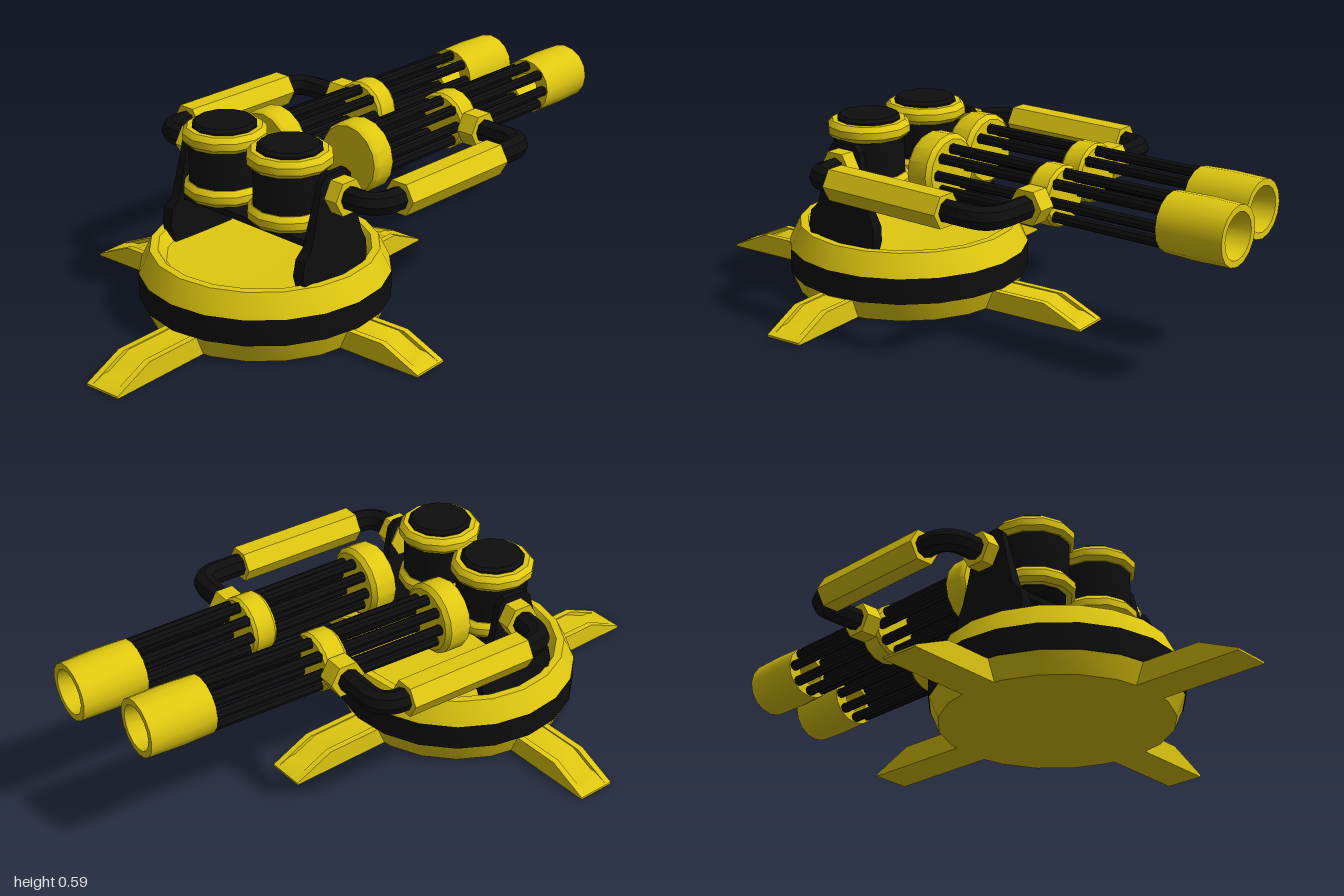
import * as THREE from 'three';
import { toCreasedNormals } from 'three/addons/utils/BufferGeometryUtils.js';

const yellow = new THREE.MeshStandardMaterial({ color: 0xe0c810 });
const black = new THREE.MeshStandardMaterial({ color: 0x0e0e0e });
const V = (x, y, z) => new THREE.Vector3(x, y, z);

function add(parent, name, geometry, material, x = 0, y = 0, z = 0) {
  const mesh = new THREE.Mesh(toCreasedNormals(geometry, 0.58), material);
  mesh.name = name;
  mesh.position.set(x, y, z);
  parent.add(mesh);
  return mesh;
}

// Profile of [radius, height] pairs, running up the outside
const lathe = (pts, sides) =>
  new THREE.LatheGeometry(pts.map(([r, h]) => new THREE.Vector2(r, h)), sides);

// Side outline given as [a, y] extruded to a centred width along the other horizontal axis
function slab(outline, width) {
  const shape = new THREE.Shape(outline.map(([a, y]) => new THREE.Vector2(a, y)));
  const g = new THREE.ExtrudeGeometry(shape, { depth: width, bevelEnabled: false });
  g.translate(0, 0, -width / 2);
  return g.rotateY(-Math.PI / 2); // a -> +z
}

// Round turntable with a dished top, a black belt and four feet
function makeBase() {
  const base = new THREE.Group();
  base.name = 'base';
  base.position.set(0.022, 0, 0.3);
  add(base, 'lowerPlate', lathe([[0, 0.005], [0.355, 0.005], [0.382, 0.07], [0, 0.07]], 20), yellow);
  add(base, 'belt', lathe([[0, 0.07], [0.385, 0.07], [0.385, 0.153], [0, 0.153]], 20), black);
  add(base, 'dishedTop', lathe([[0, 0.153], [0.385, 0.153], [0.378, 0.168], [0.35, 0.225],
    [0.325, 0.225], [0.3, 0.19], [0, 0.18]], 20), yellow);
  const lengths = [0.695, 0.63, 0.692, 0.665];
  lengths.forEach((len, i) => {
    const foot = new THREE.Group();
    foot.name = 'foot';
    foot.rotation.y = 0.065 + i * Math.PI / 2;
    const rail = [[0.25, 0.005], [len, 0.005], [len, 0.012], [len - 0.13, 0.07], [0.25, 0.07]];
    const web = [[0.25, 0.005], [len, 0.005], [len, 0.012], [len - 0.05, 0.03],
      [len - 0.07, 0.03], [len - 0.15, 0.066], [0.25, 0.066]];
    add(foot, 'footWeb', slab(web, 0.09), yellow);
    for (const s of [-1, 1]) add(foot, 'footRail', slab(rail, 0.02), yellow, s * 0.052);
    base.add(foot);
  });
  return base;
}

// Upright ammunition drum: black core between two yellow bands
function makeDrum(x) {
  const drum = new THREE.Group();
  drum.name = 'drum';
  drum.position.set(x, 0, 0.335);
  add(drum, 'drumCore', lathe([[0, 0.345], [0.085, 0.345], [0.1, 0.355], [0.1, 0.4], [0.113, 0.4],
    [0.113, 0.54], [0.1, 0.54], [0.1, 0.588], [0.09, 0.598], [0, 0.598]], 12), black);
  for (const y of [0.36, 0.53]) {
    add(drum, 'drumBand', lathe([[0.09, 0], [0.118, 0], [0.13, 0.014], [0.13, 0.036],
      [0.116, 0.052], [0.09, 0.052]], 12), yellow, 0, y);
  }
  return drum;
}

// Multi-tube barrel, built along local y from the breech cap to the muzzle
function makeBarrel(start, end, ringAt) {
  const barrel = new THREE.Group();
  barrel.name = 'barrel';
  const dir = end.clone().sub(start);
  const len = dir.length();
  barrel.position.copy(start);
  barrel.quaternion.setFromUnitVectors(V(0, 1, 0), dir.normalize());
  add(barrel, 'breechCap', lathe([[0, 0], [0.106, 0], [0.114, 0.012], [0.114, 0.075],
    [0.1, 0.088], [0, 0.088]], 16), yellow);
  add(barrel, 'middleRing', lathe([[0, -0.04], [0.085, -0.04], [0.093, -0.03], [0.093, 0.03],
    [0.085, 0.04], [0, 0.04]], 16), yellow, 0, ringAt);
  add(barrel, 'muzzle', lathe([[0.045, 0], [0.09, 0], [0.093, 0.1], [0.09, 0.212], [0.07, 0.212],
    [0.048, 0.1], [0.045, 0]], 16), yellow, 0, len - 0.212);
  const tubeLen = len - 0.25;
  for (let i = 0; i < 8; i++) {
    const a = i * Math.PI / 4;
    add(barrel, 'barrelTube', new THREE.CylinderGeometry(0.017, 0.017, tubeLen, 8), black,
      Math.sin(a) * 0.07, 0.06 + tubeLen / 2, Math.cos(a) * 0.07);
  }
  return barrel;
}

// Bent arm from the pivot, through a thick sleeve, to the barrel ring
function makeArm(pivotX, outX, ringX, ringZ) {
  const arm = new THREE.Group();
  arm.name = 'arm';
  const y = 0.47, z0 = 0.295, s = Math.sign(outX), b = 0.075;
  const path = new THREE.CurvePath();
  const line = (p, q) => path.add(new THREE.LineCurve3(p, q));
  const bend = (p, c, q) => path.add(new THREE.QuadraticBezierCurve3(p, c, q));
  const p1 = V(outX - s * b, y, z0), p2 = V(outX, y, z0 - b);
  const p3 = V(outX, y, ringZ + b), p4 = V(outX - s * b, y, ringZ);
  line(V(pivotX, y, z0), p1);
  bend(p1, V(outX, y, z0), p2);
  line(p2, p3);
  bend(p3, V(outX, y, ringZ), p4);
  line(p4, V(ringX, y, ringZ));
  add(arm, 'armTube', new THREE.TubeGeometry(path, 60, 0.036, 8), black);
  const hexX = (r, l) => new THREE.CylinderGeometry(r, r, l, 6).rotateZ(Math.PI / 2);
  add(arm, 'pivotCollar', hexX(0.058, 0.075), yellow, pivotX, y, z0);
  add(arm, 'ringCollar', hexX(0.058, 0.06), yellow, ringX, y, ringZ);
  add(arm, 'sleeve', new THREE.CylinderGeometry(0.056, 0.056, 0.43, 6)
    .rotateY(Math.PI / 6).rotateX(Math.PI / 2), yellow, outX, y, -0.015);
  return arm;
}

// Tapered upright bracket, thinner toward the top
function makeBracket(parent, x) {
  const g = slab([[0.2, 0.18], [0.43, 0.18], [0.45, 0.25], [0.44, 0.3], [0.41, 0.33], [0.385, 0.42],
    [0.36, 0.52], [0.34, 0.54], [0.26, 0.54], [0.24, 0.52], [0.225, 0.42], [0.2, 0.33],
    [0.18, 0.29], [0.18, 0.24]], 0.04);
  const p = g.attributes.position;
  for (let i = 0; i < p.count; i++) {
    p.setX(i, p.getX(i) * (1 - 0.5 * Math.max(0, (p.getY(i) - 0.25) / 0.29)));
  }
  add(parent, 'bracket', g, black, x);
}

export function createModel() {
  const model = new THREE.Group();
  model.name = 'turret';
  model.add(makeBase());
  for (const x of [-0.107, 0.165]) model.add(makeDrum(x));
  for (const x of [-0.253, 0.307]) makeBracket(model, x);
  add(model, 'crossBar', new THREE.BoxGeometry(0.55, 0.02, 0.12), black, 0.027, 0.328, 0.33);
  model.add(makeBarrel(V(-0.12, 0.458, 0.163), V(-0.105, 0.47, -0.925), 0.468));
  model.add(makeBarrel(V(0.165, 0.472, 0.087), V(0.153, 0.474, -1), 0.47));
  model.add(makeArm(-0.273, -0.425, -0.225, -0.308));
  model.add(makeArm(0.328, 0.468, 0.275, -0.385));
  return model;
}
